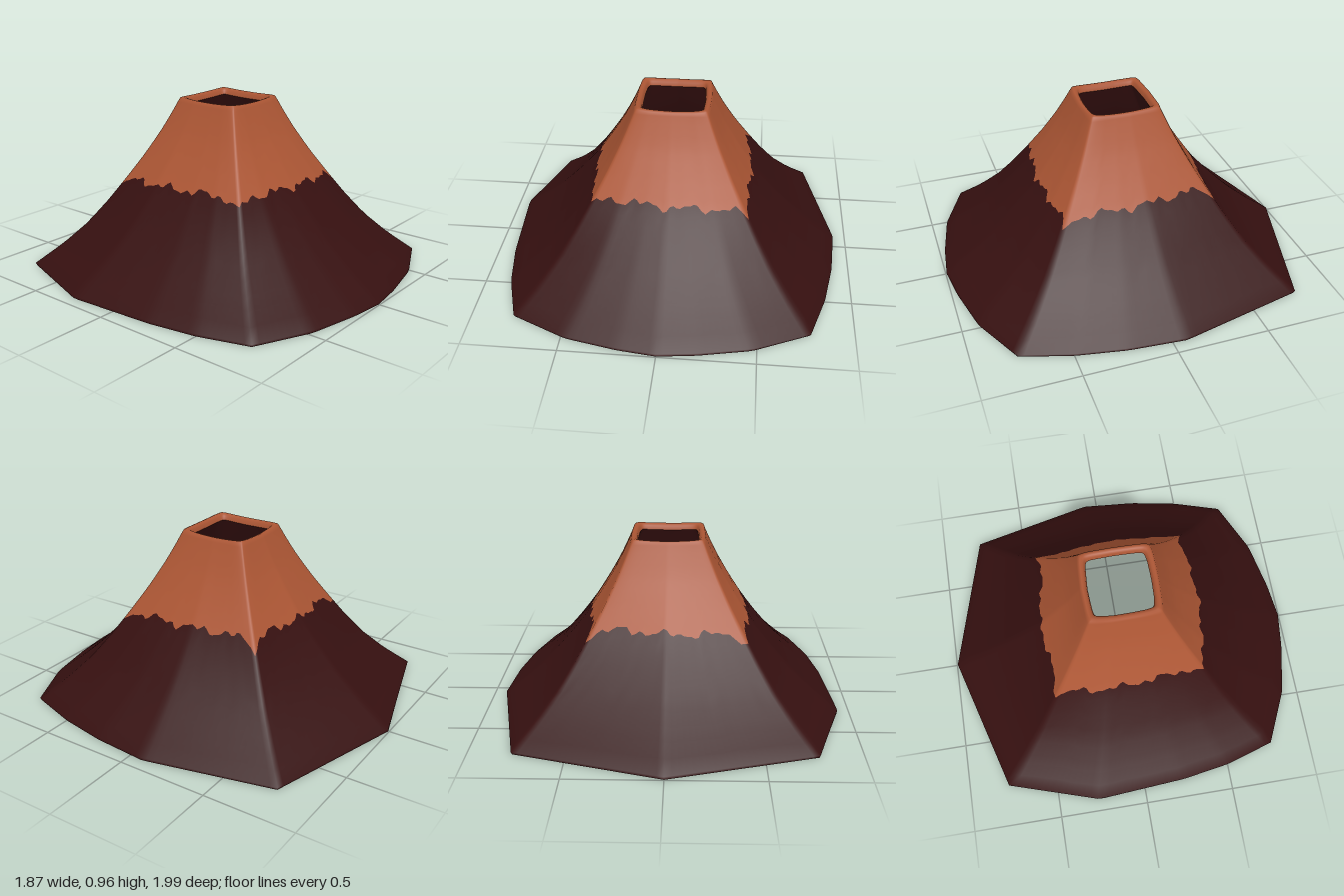
import * as THREE from 'three';

const SIDE = 44;            // columns per side
const COLS = SIDE * 4;

// Outward bulge of each side, keyed by position along the side (-1..1)
const bulges = [
  [[-1, 0], [-0.62, 0.14], [-0.26, 0.2], [0, 0.225], [0.26, 0.2], [0.62, 0.14], [1, 0]], // front
  [[-1, 0], [-0.65, 0.085], [-0.3, 0.135], [0.1, 0.16], [1, 0]],                         // left (+x)
  [[-1, 0], [0, 0.225], [1, 0]],                                                         // back
  [[-1, 0], [-0.35, 0.165], [0.3, 0.13], [0.65, 0.085], [1, 0]],                         // right (-x)
];

// Slope profile by height: half width at the corners and strength of the bulge
const widths = [[0, 0.77], [0.015, 0.775], [0.13, 0.66], [0.25, 0.56], [0.38, 0.475], [0.5, 0.405],
  [0.64, 0.33], [0.77, 0.267], [0.86, 0.228], [0.93, 0.2]];
const strengths = [[0, 1], [0.25, 0.62], [0.5, 0.27], [0.77, 0.09], [0.93, 0.04]];

function sample(keys, t) {
  for (let i = 1; i < keys.length; i++) {
    const [a, va] = keys[i - 1], [b, vb] = keys[i];
    if (t <= b) return va + (vb - va) * Math.max(0, (t - a) / (b - a));
  }
  return keys[keys.length - 1][1];
}

// Position along the side of a column
const along = (j) => ((j % SIDE) / SIDE) * 2 - 1;

// Point on a rounded four-sided ring
function ringPoint(j, y, width, strength, round = 0) {
  const side = Math.floor(j / SIDE) % 4, s = along(j);
  const k = 1 - round * Math.pow(Math.abs(s), 8);
  const a = s * width * k, out = (width + sample(bulges[side], s) * strength) * k;
  return [[a, y, out], [out, y, -a], [-a, y, -out], [-out, y, a]][side];
}

const slopePoint = (j, y, inset = 0) =>
  ringPoint(j, y, sample(widths, y) - inset, sample(strengths, y), 0.03 * Math.max(0, (y - 0.5) / 0.43));

// Ragged edge of the cap, dripping lower down the four ridges
function capEdge(j) {
  const u = (j / COLS) * Math.PI * 2, s = Math.abs(along(j));
  const ragged = 0.012 * Math.sin(13 * u + 1) + 0.009 * Math.sin(29 * u + 2) + 0.007 * Math.sin(47 * u);
  return 0.525 + 0.01 * Math.cos(2 * u) - 0.05 * Math.pow(s, 10) + ragged;
}

// Closed bands of quads between successive rings
function sheet(rows) {
  const pos = [], index = [];
  for (const row of rows) for (let j = 0; j < COLS; j++) pos.push(...row(j));
  for (let i = 0; i < rows.length - 1; i++) {
    for (let j = 0; j < COLS; j++) {
      const k = (j + 1) % COLS;
      const a = i * COLS + j, b = i * COLS + k, c = b + COLS, d = a + COLS;
      index.push(a, b, c, a, c, d);
    }
  }
  const g = new THREE.BufferGeometry();
  g.setAttribute('position', new THREE.Float32BufferAttribute(pos, 3));
  g.setIndex(index);
  g.computeVertexNormals();
  return g;
}

export function createModel() {
  const rock = new THREE.MeshStandardMaterial({ color: 0x361010 });
  rock.name = 'darkRock';
  const cap = new THREE.MeshStandardMaterial({ color: 0xac5634 });
  cap.name = 'orangeCap';
  const group = new THREE.Group();
  group.name = 'volcano';

  // Outer slope: rock below the ragged edge, cap and crater lip above it
  const lower = 10, upper = 9, rows = [];
  rows.push((j) => slopePoint(j, 0));
  for (let i = 0; i <= lower; i++) rows.push((j) => slopePoint(j, 0.015 + (capEdge(j) - 0.015) * (i / lower)));
  for (let i = 1; i <= upper; i++) rows.push((j) => slopePoint(j, capEdge(j) + (0.93 - capEdge(j)) * (i / upper)));
  const lip = [[0.945, 0.194], [0.949, 0.184], [0.946, 0.172], [0.936, 0.163], [0.915, 0.158]];
  for (const [y, w] of lip) {
    rows.push((j) => ringPoint(j, y + 0.007 * along(j) ** 2, w, 0.04, 0.05));
  }
  const slope = sheet(rows);
  const split = (lower + 1) * COLS * 6;
  slope.addGroup(0, split, 0);
  slope.addGroup(split, slope.index.count - split, 1);
  const mountain = new THREE.Mesh(slope, [rock, cap]);
  mountain.name = 'mountainSlope';
  group.add(mountain);

  // Hollow inside, from the crater down to the underside of the foot
  const inner = [(j) => ringPoint(j, 0.915 + 0.007 * along(j) ** 2, 0.158, 0.04, 0.05)];
  for (let i = 9; i >= 0; i--) inner.push((j) => slopePoint(j, i * 0.095, 0.045));
  const hollow = new THREE.Mesh(sheet(inner), rock);
  hollow.name = 'craterInside';
  group.add(hollow);

  const foot = new THREE.Mesh(sheet([(j) => slopePoint(j, 0, 0.045), (j) => slopePoint(j, 0)]), rock);
  foot.name = 'footRim';
  group.add(foot);
  return group;
}
